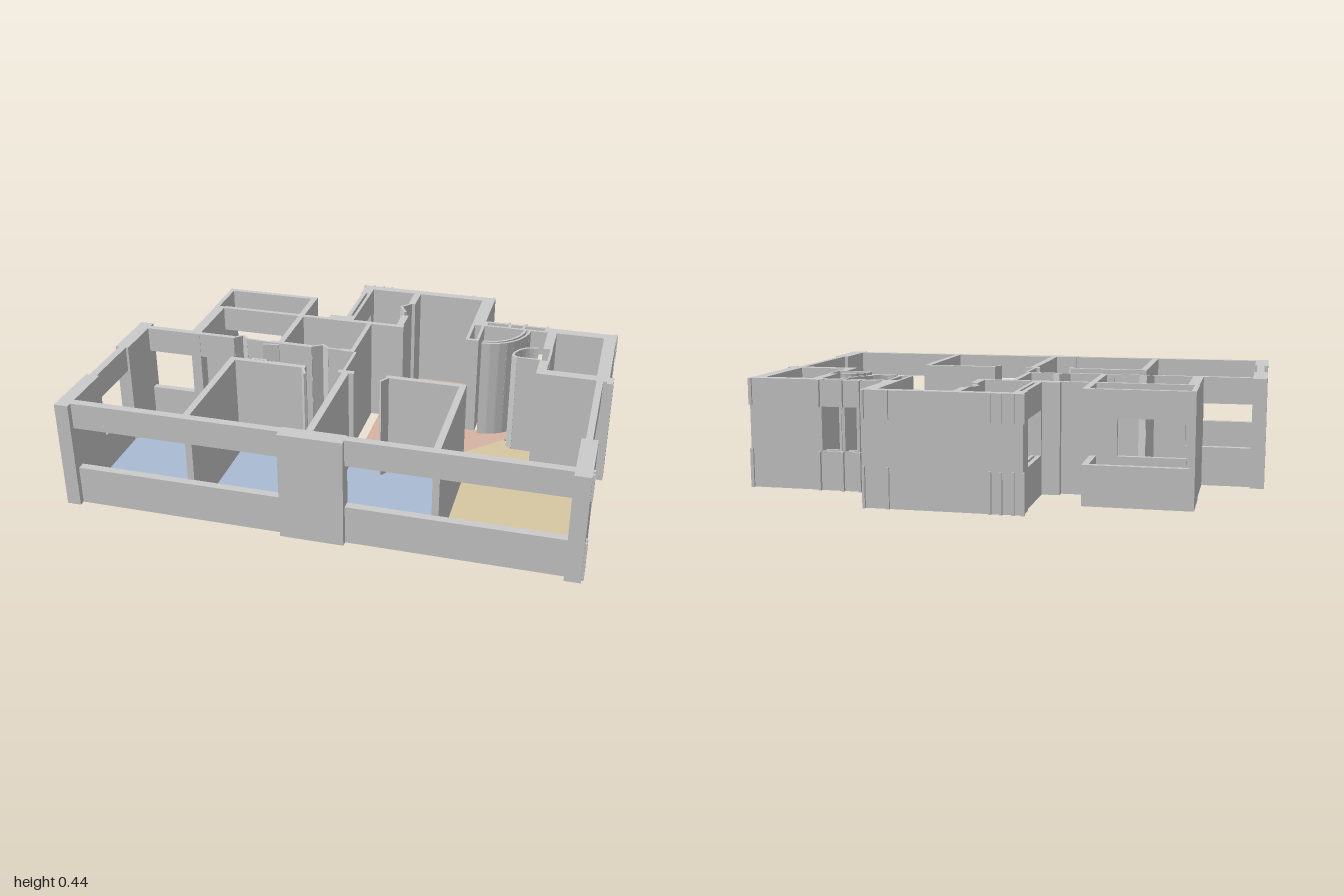
import * as THREE from 'three';

const H = 0.435, SILL = 0.155, HEAD = 0.33;

export function createModel() {
  const group = new THREE.Group();
  const grey = new THREE.MeshStandardMaterial({ color: 0xcccccc, flatShading: true });

  const add = (name, geo, mat = grey) => {
    const m = new THREE.Mesh(geo, mat);
    m.name = name;
    group.add(m);
    return m;
  };
  // Straight wall between two plan corners
  const wall = (name, x0, x1, z0, z1, y0 = 0, y1 = H) =>
    add(name, new THREE.BoxGeometry(x1 - x0, y1 - y0, z1 - z0))
      .position.set((x0 + x1) / 2, (y0 + y1) / 2, (z0 + z1) / 2);
  // Wall with a window band left open: parapet below, lintel above
  const open = (name, x0, x1, z0, z1) => {
    wall(name + 'Parapet', x0, x1, z0, z1, 0, SILL);
    wall(name + 'Lintel', x0, x1, z0, z1, HEAD, H);
  };
  // Thin upright panel following a plan polyline
  const panel = (name, pts, t = 0.01) => {
    for (let i = 1; i < pts.length; i++) {
      const [ax, az] = pts[i - 1], [bx, bz] = pts[i];
      const m = add(name, new THREE.BoxGeometry(Math.hypot(bx - ax, bz - az) + t * 0.5, H, t));
      m.position.set((ax + bx) / 2, H / 2, (az + bz) / 2);
      m.rotation.y = -Math.atan2(bz - az, bx - ax);
    }
  };
  const arc = (cx, cz, r, a0, a1, n = 8) => Array.from({ length: n + 1 }, (_, i) => {
    const a = a0 + (a1 - a0) * i / n;
    return [cx + r * Math.cos(a), cz + r * Math.sin(a)];
  });
  // Coloured floor slab from plan corners
  const floor = (name, color, pts) => {
    const shape = new THREE.Shape(pts.map(([x, z]) => new THREE.Vector2(x, -z)));
    const geo = new THREE.ExtrudeGeometry(shape, { depth: 0.008, bevelEnabled: false });
    geo.rotateX(-Math.PI / 2);
    add(name, geo, new THREE.MeshStandardMaterial({ color }));
  };
  const rect = (x0, x1, z0, z1) => [[x0, z0], [x1, z0], [x1, z1], [x0, z1]];

  // Floors
  const BLUE = 0xaabbd4, TEAL = 0xa3c7c5, BEIGE = 0xcbc4bc;
  floor('bedroomFloor', BLUE, [[-0.95, -0.01], [0.13, -0.005], [0.205, 0.08], [0.29, 0.08],
    [0.29, 0.165], [0.44, 0.165], [0.44, 0.66], [-0.95, 0.66]]);
  floor('livingFloor', 0xd7c8a2, [[0.29, 0.08], [0.29, 0.165], [0.44, 0.165], [0.44, 0.66], [0.94, 0.66],
    [0.94, -0.01], [0.7, -0.01], [0.7, -0.135], [0.6, -0.135], [0.57, -0.2]]);
  floor('hallFloor', 0xd6b3a3, [[0, -0.29], [0, -0.008], [0.13, -0.005], [0.205, 0.08], [0.29, 0.08],
    [0.57, -0.2], [0.69, -0.25], [0.69, -0.38], [0.62, -0.38], [0.57, -0.29], [0.46, -0.25],
    [0.38, -0.25], [0.38, -0.67], [0.1, -0.67], [0.07, -0.62], [0.07, -0.3]]);
  floor('bathroomFloor', TEAL, rect(-0.712, -0.365, -0.295, -0.025));
  floor('bathroomFloor', TEAL, rect(-0.345, -0.055, -0.295, -0.025));
  floor('backBalconyFloor', BEIGE, rect(-0.74, -0.365, -0.49, -0.31));
  floor('sideBalconyFloor', BEIGE, rect(0.735, 0.935, -0.405, -0.045));
  floor('ductFloor', BEIGE, [[0.45, -0.4], [0.62, -0.4], [0.57, -0.3], [0.45, -0.25]]);
  floor('utilityFloor', 0xbfc0b8, rect(-0.125, 0.07, -0.67, -0.315));

  // Front facade
  open('frontWindowLeft', 0.115, 0.92, 0.655, 0.687);
  open('frontWindowRight', -0.945, -0.13, 0.655, 0.687);
  wall('frontPier', -0.13, 0.115, 0.65, 0.71);

  // Side facades
  wall('cornerPier', -1, -0.945, 0.45, 0.71);
  open('sideWindow', -0.985, -0.955, 0.19, 0.45);
  wall('cornerPier', -1, -0.945, -0.06, 0.19);
  wall('cornerPier', 0.92, 0.98, 0.455, 0.713);
  open('livingWindow', 0.935, 0.96, -0.01, 0.455);

  // Rear wall of the corner bedroom, and bathrooms
  open('rearWindow', -0.945, -0.754, -0.035, -0.008);
  open('bathroomFront', -0.712, -0.687, -0.03, -0.01);
  wall('bathroomFront', -0.687, -0.56, -0.03, -0.01);
  wall('bathroomFront', -0.4, -0.22, -0.03, -0.01);
  wall('bathroomFront', -0.1, -0.04, -0.03, -0.01);
  wall('bathroomSide', -0.754, -0.712, -0.31, -0.008);
  wall('bathroomPartition', -0.368, -0.345, -0.3, -0.02);
  wall('bathroomSide', -0.058, -0.04, -0.3, -0.02);
  open('bathroomBack', -0.712, -0.45, -0.315, -0.295);
  wall('bathroomBack', -0.45, -0.04, -0.315, -0.295);
  panel('bathroomDoor', [[-0.56, -0.02], [-0.53, -0.045], [-0.5, -0.02], [-0.4, -0.015]]);
  panel('bathroomDoor', [[-0.22, -0.02], [-0.18, -0.045], [-0.15, -0.02], [-0.1, -0.02]]);

  // Rear balcony with an open band
  wall('balconySide', -0.757, -0.738, -0.51, -0.3);
  open('balconyBack', -0.738, -0.345, -0.51, -0.488);
  open('balconySide', -0.37, -0.345, -0.488, -0.31);

  // Bedroom partitions and doors
  for (const [a, b] of [[-0.508, -0.482], [-0.037, -0.01], [0.43, 0.456]])
    wall('bedroomPartition', a, b, 0.157, 0.657);
  wall('bedroomFront', -0.508, -0.19, 0.157, 0.18);
  wall('bedroomFront', 0.14, 0.456, 0.157, 0.18);
  wall('bedroomFront', -0.055, 0.01, 0.157, 0.18);
  wall('hallPartition', -0.04, -0.028, -0.01, 0.157);
  panel('bedroomDoor', [[-0.2, 0.175], [-0.175, 0.225]]);
  panel('bedroomDoor', [[0.15, 0.175], [0.128, 0.21]]);
  panel('bedroomDoor', [[-0.42, 0.15], [-0.36, 0.15]]);
  panel('bedroomDoor', [[-0.42, 0.012], [-0.36, 0.002]]);

  // Rear wing: hall and utility room
  wall('wingBack', -0.17, 0.43, -0.705, -0.667);
  wall('wingSide', 0.377, 0.43, -0.705, -0.4);
  wall('wingSide', 0.377, 0.39, -0.4, -0.245);
  wall('wingSide', 0.42, 0.432, -0.4, -0.245);
  wall('wingSide', 0.39, 0.42, -0.26, -0.245);
  wall('utilitySide', -0.17, -0.125, -0.67, -0.62);
  open('utilityWindow', -0.165, -0.148, -0.62, -0.36);
  open('utilityWindow', -0.138, -0.125, -0.62, -0.36);
  wall('utilitySide', -0.165, -0.125, -0.36, -0.31);
  wall('utilityPier', -0.235, -0.165, -0.345, -0.315);
  wall('utilityFront', -0.125, 0.1, -0.318, -0.295);
  wall('utilityPartition', 0.065, 0.095, -0.667, -0.55);
  wall('utilityPartition', 0.065, 0.095, -0.42, -0.3);
  panel('utilityDoor', [[0.075, -0.55], [0.042, -0.51], [0.072, -0.46]]);

  // Link between wing and side balcony, with curved partitions
  open('linkWindow', 0.43, 0.7, -0.45, -0.438);
  open('linkWindow', 0.43, 0.7, -0.412, -0.4);
  for (const x of [0.43, 0.53, 0.59, 0.685]) wall('linkPost', x, x + 0.012, -0.45, -0.4);
  panel('curvedPartition', arc(0.45, -0.405, 0.155, 0, Math.PI / 2));
  panel('curvedPartition', arc(0.45, -0.405, 0.175, 0, Math.PI / 2));
  panel('curvedDoor', arc(0.68, -0.15, 0.09, Math.PI, Math.PI * 1.5));
  panel('curvedDoor', [[0.59, -0.15], [0.61, -0.135], [0.7, -0.135]]);

  // Side balcony enclosure
  wall('sideBalconyBack', 0.695, 0.985, -0.447, -0.403);
  wall('sideBalconyOuter', 0.933, 0.983, -0.447, -0.005);
  wall('sideBalconyFront', 0.7, 0.985, -0.05, -0.008);
  wall('sideBalconyInner', 0.7, 0.738, -0.405, -0.24);
  wall('sideBalconyInner', 0.7, 0.738, -0.13, -0.05);
  panel('sideBalconyDoor', [[0.735, -0.24], [0.735, -0.13]]);

  // Small projecting fins above and below window height
  for (const x of [-0.172, -0.135, -0.09, -0.05, 0.33, 0.422])
    open('rearFin', x - 0.005, x + 0.005, -0.715, -0.7);
  for (const z of [0.665, 0.69]) open('sideFin', 0.975, 0.988, z - 0.006, z + 0.006);
  open('sideFin', 0.975, 0.988, -0.455, -0.44);
  wall('sideFin', 0.975, 1, -0.045, 0.01);
  for (const x of [0.53, 0.6, 0.695]) open('linkFin', x - 0.005, x + 0.005, -0.465, -0.445);

  return group;
}
